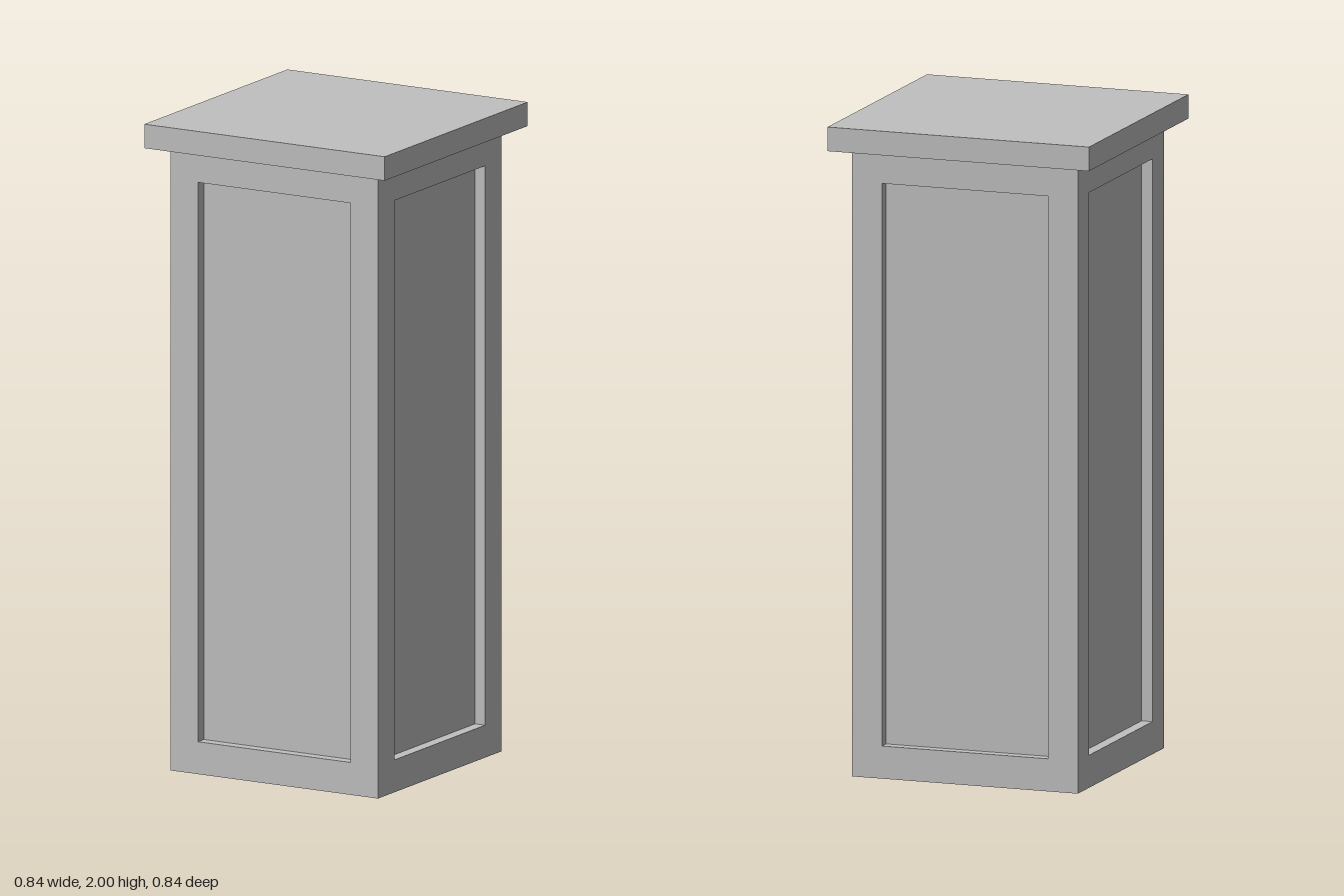
import * as THREE from 'three';

const HALF = 0.363;      // half width of the body
const BODY_TOP = 1.926;  // underside of the cap
const DEPTH = 0.035;     // depth of the recessed panels
const PANEL = { half: 0.267, bottom: 0.1, top: 1.827 };

function rectangle(target, half, bottom, top) {
  target.moveTo(-half, bottom);
  target.lineTo(half, bottom);
  target.lineTo(half, top);
  target.lineTo(-half, top);
  target.closePath();
  return target;
}

// Raised frame around one panel, its back edges mitred to meet its neighbours
function frameGeometry() {
  const shape = rectangle(new THREE.Shape(), HALF, 0, BODY_TOP);
  shape.holes.push(rectangle(new THREE.Path(), PANEL.half, PANEL.bottom, PANEL.top));
  const geometry = new THREE.ExtrudeGeometry(shape, { depth: DEPTH, bevelEnabled: false });
  const p = geometry.attributes.position;
  for (let i = 0; i < p.count; i++) {
    const x = p.getX(i);
    if (p.getZ(i) < DEPTH / 2 && Math.abs(x) > PANEL.half + 0.01) {
      p.setX(i, Math.sign(x) * (HALF - DEPTH));
    }
  }
  geometry.translate(0, 0, HALF - DEPTH);
  geometry.computeVertexNormals();
  return geometry;
}

export function createModel() {
  const group = new THREE.Group();
  group.name = 'pedestal';
  const stone = new THREE.MeshStandardMaterial({ color: 0xc0c0c0 });
  stone.name = 'light grey';

  const add = (name, geometry) => {
    const mesh = new THREE.Mesh(geometry, stone);
    mesh.name = name;
    group.add(mesh);
    return mesh;
  };

  // Core whose sides form the recessed panels
  const coreWidth = 2 * (HALF - DEPTH);
  add('core', new THREE.BoxGeometry(coreWidth, BODY_TOP, coreWidth)).position.y = BODY_TOP / 2;

  // One frame per side
  const frame = frameGeometry();
  ['frontFrame', 'leftFrame', 'backFrame', 'rightFrame'].forEach((name, i) => {
    add(name, frame).rotation.y = i * Math.PI / 2;
  });

  // Overhanging square cap
  const capHeight = 2 - BODY_TOP;
  add('cap', new THREE.BoxGeometry(0.841, capHeight, 0.841)).position.y = BODY_TOP + capHeight / 2;

  return group;
}
